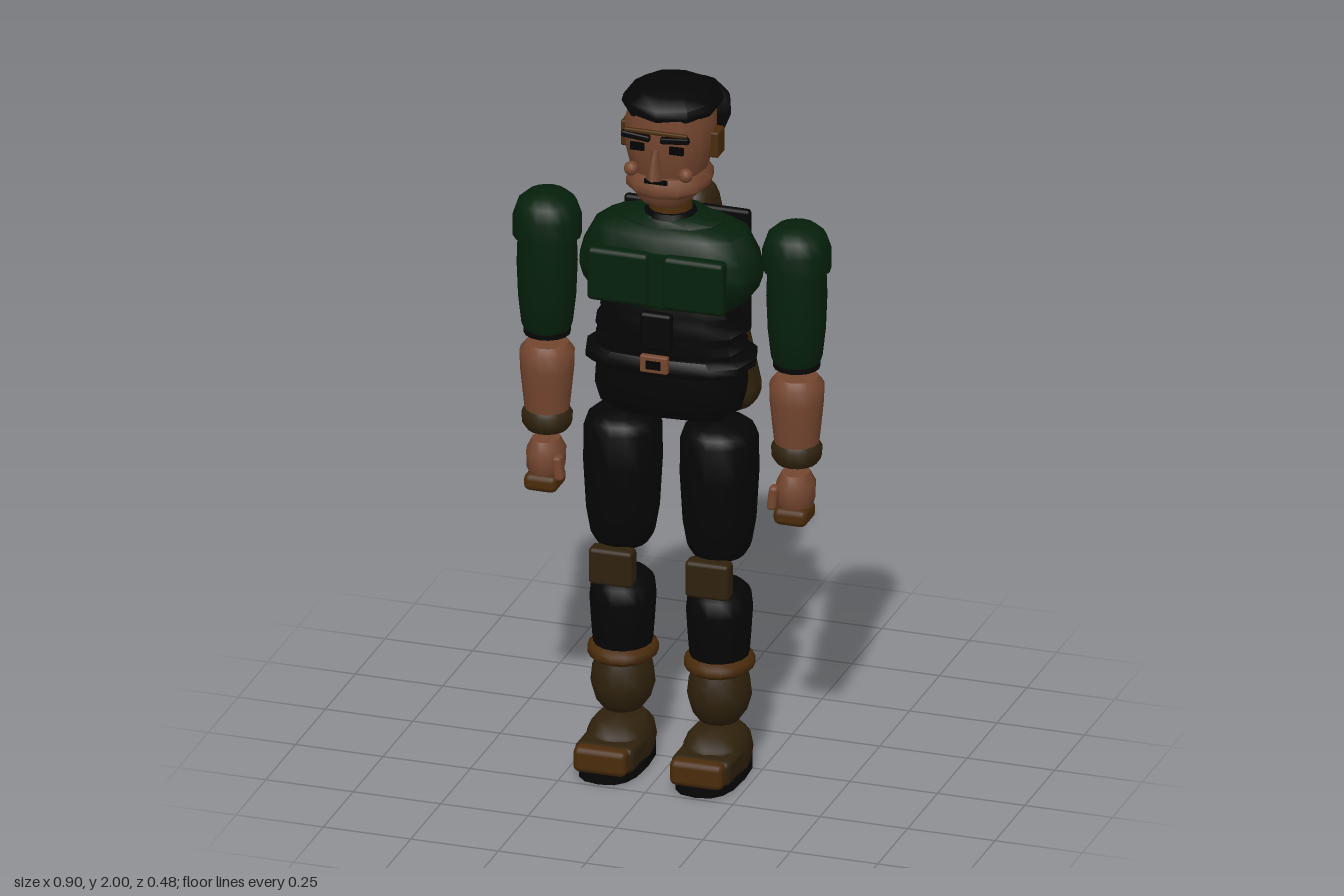
import * as THREE from 'three';
import { toCreasedNormals } from 'three/addons/utils/BufferGeometryUtils.js';
import { RoundedBoxGeometry } from 'three/addons/geometries/RoundedBoxGeometry.js';

const paint = (name, color) => Object.assign(new THREE.MeshStandardMaterial({ color }), { name });

export function createModel() {
  const root = new THREE.Group();
  root.name = 'soldierFigure';
  const black = paint('black cloth', 0x050506);
  const green = paint('dark green', 0x05200b);
  const skin = paint('skin', 0x74462f);
  const olive = paint('olive leather', 0x2f220d);
  const brown = paint('brown leather', 0x4a2b0b);
  const dark = paint('dark eye', 0x030202);

  function put(parent, name, geo, mat, x = 0, y = 0, z = 0) {
    const mesh = new THREE.Mesh(geo, mat);
    mesh.name = name;
    mesh.position.set(x, y, z);
    parent.add(mesh);
    return mesh;
  }

  // Closed solid from rings [y, halfWidth, halfDepth]; power below 1 makes the section boxier
  function loft(rings, sides = 16, power = 1) {
    const first = rings[0], last = rings[rings.length - 1];
    const all = [[first[0], 0, 0], ...rings, [last[0], 0, 0]];
    const geo = new THREE.LatheGeometry(all.map(r => new THREE.Vector2(r[1], r[0])), sides);
    const p = geo.attributes.position;
    const bend = v => Math.sign(v) * Math.pow(Math.abs(v) < 1e-6 ? 0 : Math.abs(v), power);
    for (let i = 0; i < p.count; i++) {
      const ring = all[i % all.length];
      const a = Math.floor(i / all.length) / sides * Math.PI * 2;
      p.setX(i, bend(Math.sin(a)) * ring[1]);
      p.setZ(i, bend(Math.cos(a)) * (ring[2] ?? ring[1]));
    }
    return toCreasedNormals(geo, 0.9);
  }
  const box = (w, h, d, r = 0.01) => new RoundedBoxGeometry(w, h, d, 2, r);

  // Torso
  put(root, 'pelvis', loft([[1.05, 0.17, 0.08], [1.075, 0.2, 0.105], [1.13, 0.215, 0.12],
    [1.2, 0.21, 0.12]], 12, 0.7), black, 0, 0, 0.03);
  put(root, 'belt', loft([[1.19, 0.22, 0.125], [1.205, 0.24, 0.135], [1.225, 0.24, 0.135],
    [1.24, 0.22, 0.125]], 12, 0.7), black, 0, 0, 0.03);
  put(root, 'abdomen', loft([[1.23, 0.2, 0.11], [1.255, 0.215, 0.12], [1.28, 0.2, 0.112],
    [1.305, 0.213, 0.12], [1.335, 0.193, 0.11], [1.36, 0.2, 0.11], [1.4, 0.18, 0.1]], 12, 0.7), black, 0, 0, 0.03);
  put(root, 'chest', loft([[1.38, 0.2, 0.105], [1.4, 0.22, 0.115], [1.44, 0.25, 0.125], [1.475, 0.262, 0.127],
    [1.52, 0.25, 0.125], [1.59, 0.213, 0.11], [1.612, 0.17, 0.09]], 12, 0.7), green, 0, 0, 0.03);
  put(root, 'collar', loft([[1.6, 0.15, 0.095], [1.615, 0.15, 0.095], [1.635, 0.1, 0.08]], 12), green, 0, 0, 0.025);
  put(root, 'neckRing', new THREE.CylinderGeometry(0.068, 0.074, 0.016, 14), black, 0, 1.639, 0.035);
  put(root, 'frontPlate', box(0.09, 0.11, 0.03), black, 0, 1.325, 0.155);
  put(root, 'buckle', box(0.08, 0.05, 0.02, 0.005), skin, 0, 1.235, 0.172);
  put(root, 'buckleCentre', new THREE.BoxGeometry(0.042, 0.024, 0.006), dark, 0, 1.235, 0.183);
  put(root, 'chestSeam', new THREE.BoxGeometry(0.05, 0.15, 0.03), green, 0, 1.475, 0.148);
  for (const s of [-1, 1]) {
    put(root, 'chestPlate', box(0.175, 0.155, 0.045, 0.014), green, s * 0.108, 1.475, 0.152);
  }
  put(root, 'backPanel', box(0.36, 0.36, 0.025), black, 0, 1.42, -0.107);

  // Slanted pack with two rods
  const pack = new THREE.Group();
  pack.name = 'backPack';
  pack.position.set(0.025, 1.305, -0.165);
  pack.rotation.z = 0.22;
  root.add(pack);
  put(pack, 'packBody', new RoundedBoxGeometry(0.2, 0.67, 0.15, 2, 0.06), olive);
  for (const x of [-0.078, -0.008]) {
    put(pack, 'packRod', new THREE.CylinderGeometry(0.007, 0.008, 0.22, 8), black, x, 0.405, 0);
  }

  // Neck and head
  put(root, 'neck', new THREE.CylinderGeometry(0.058, 0.062, 0.08, 12), brown, 0, 1.655, 0.035);
  const head = new THREE.Group();
  head.name = 'head';
  root.add(head);
  put(head, 'skull', loft([[1.74, 0.09, 0.1], [1.79, 0.108, 0.115], [1.85, 0.122, 0.125],
    [1.92, 0.122, 0.125], [1.965, 0.11, 0.12]], 12, 0.85), skin, 0, 0, 0.035);
  put(head, 'jaw', loft([[1.715, 0.1, 0.115], [1.73, 0.115, 0.127], [1.75, 0.115, 0.127],
    [1.772, 0.1, 0.115]], 12, 0.85), skin, 0, 0, 0.042);
  put(head, 'chin', loft([[1.685, 0.065, 0.085], [1.7, 0.08, 0.1], [1.725, 0.09, 0.105]], 12, 0.85), skin, 0, 0, 0.055);
  const nose = put(head, 'nose', new THREE.CylinderGeometry(0.01, 0.023, 0.085, 4), skin, 0, 1.822, 0.17);
  nose.rotation.x = -0.15;
  put(head, 'mouth', new THREE.BoxGeometry(0.065, 0.012, 0.009), dark, 0, 1.769, 0.162);
  put(head, 'browBand', box(0.18, 0.012, 0.012, 0.004), brown, 0, 1.914, 0.162);
  for (const s of [-1, 1]) {
    const brow = put(head, 'brow', box(0.082, 0.018, 0.018, 0.005), black, s * 0.056, 1.9, 0.166);
    brow.rotation.z = s * 0.1;
    put(head, 'eye', new THREE.BoxGeometry(0.04, 0.022, 0.008), dark, s * 0.056, 1.864, 0.153);
    put(head, 'cheek', new THREE.SphereGeometry(0.02, 10, 8), skin, s * 0.078, 1.79, 0.14);
    put(head, 'ear', box(0.03, 0.075, 0.058, 0.006), brown, s * 0.125, 1.848, 0.02);
  }
  put(head, 'hairCap', loft([[1.942, 0.128, 0.138], [1.955, 0.135, 0.146], [1.975, 0.13, 0.14],
    [2, 0.095, 0.1]], 10, 0.9), black, 0, 0, 0.02);
  put(head, 'backHair', loft([[1.79, 0.08, 0.03], [1.82, 0.105, 0.038], [1.89, 0.133, 0.042], [1.945, 0.13, 0.042],
    [1.98, 0.09, 0.03]], 12, 0.8), black, 0, 0, -0.08);
  const tail = put(head, 'ponytail', loft([[-0.18, 0.01, 0.02], [0.05, 0.03, 0.031],
    [0.14, 0.042, 0.036], [0.17, 0.025, 0.022]], 10), black, 0, 1.755, -0.183);
  tail.rotation.x = 0.21;

  // Arms and legs, mirrored
  for (const s of [-1, 1]) {
    const arm = new THREE.Group();
    arm.name = s > 0 ? 'leftArm' : 'rightArm';
    arm.position.set(s * 0.357, 0, 0.026);
    root.add(arm);
    put(arm, 'shoulderCap', loft([[1.51, 0.094], [1.57, 0.094], [1.61, 0.08], [1.632, 0.055]]), green);
    put(arm, 'upperArm', loft([[1.235, 0.064], [1.25, 0.07], [1.33, 0.079], [1.43, 0.083], [1.52, 0.08]]), green);
    put(arm, 'sleeveCuff', new THREE.CylinderGeometry(0.064, 0.064, 0.022, 16), black, 0, 1.231, 0);
    put(arm, 'forearm', loft([[0.985, 0.06], [1.05, 0.067], [1.12, 0.074], [1.17, 0.075], [1.192, 0.058]]), skin);
    put(arm, 'wristBand', loft([[0.938, 0.056], [0.955, 0.068], [0.985, 0.07], [1, 0.06]]), olive);
    put(arm, 'hand', loft([[0.805, 0.042, 0.05], [0.83, 0.052, 0.062], [0.88, 0.054, 0.064],
      [0.912, 0.038, 0.046]], 12), skin, 0, 0, 0.008);
    put(arm, 'fingers', box(0.095, 0.05, 0.1, 0.018), brown, 0, 0.795, 0.02);
    const thumb = put(arm, 'thumb', box(0.026, 0.07, 0.034), skin, -s * 0.05, 0.845, 0.05);
    thumb.rotation.z = -s * 0.12;

    const leg = new THREE.Group();
    leg.name = s > 0 ? 'leftLeg' : 'rightLeg';
    leg.position.set(s * 0.138, 0, 0.032);
    root.add(leg);
    put(leg, 'thigh', loft([[0.642, 0.07, 0.076], [0.67, 0.087, 0.096], [0.74, 0.099, 0.109],
      [0.88, 0.107, 0.117], [0.985, 0.106, 0.114], [1.01, 0.097, 0.104], [1.026, 0.078, 0.083]]), black);
    put(leg, 'kneePad', box(0.125, 0.106, 0.052, 0.012), olive, 0, 0.598, 0.088);
    put(leg, 'shin', loft([[0.33, 0.08, 0.086], [0.4, 0.085, 0.094], [0.48, 0.09, 0.1],
      [0.525, 0.085, 0.096], [0.546, 0.066, 0.074]]), black);
    put(leg, 'bootTop', loft([[0.3, 0.083, 0.09], [0.312, 0.096, 0.104], [0.332, 0.096, 0.104],
      [0.345, 0.083, 0.09]]), brown);
    put(leg, 'bootShaft', loft([[0.152, 0.055, 0.06], [0.18, 0.075, 0.083], [0.225, 0.088, 0.097],
      [0.27, 0.083, 0.092], [0.305, 0.07, 0.078]], 14), olive);
    put(leg, 'footInstep', loft([[0.02, 0.085, 0.105], [0.06, 0.09, 0.122], [0.105, 0.083, 0.11],
      [0.133, 0.06, 0.08]], 12, 0.8), olive, 0, 0, 0.02);
    put(leg, 'footFront', box(0.17, 0.075, 0.14, 0.02), olive, 0, 0.058, 0.1);
    put(leg, 'toeCap', box(0.152, 0.075, 0.05, 0.018), brown, 0, 0.062, 0.183);
    put(leg, 'sole', loft([[0, 0.088, 0.162], [0.024, 0.088, 0.162]], 16, 0.75), black, 0, 0, 0.046);
  }
  return root;
}
